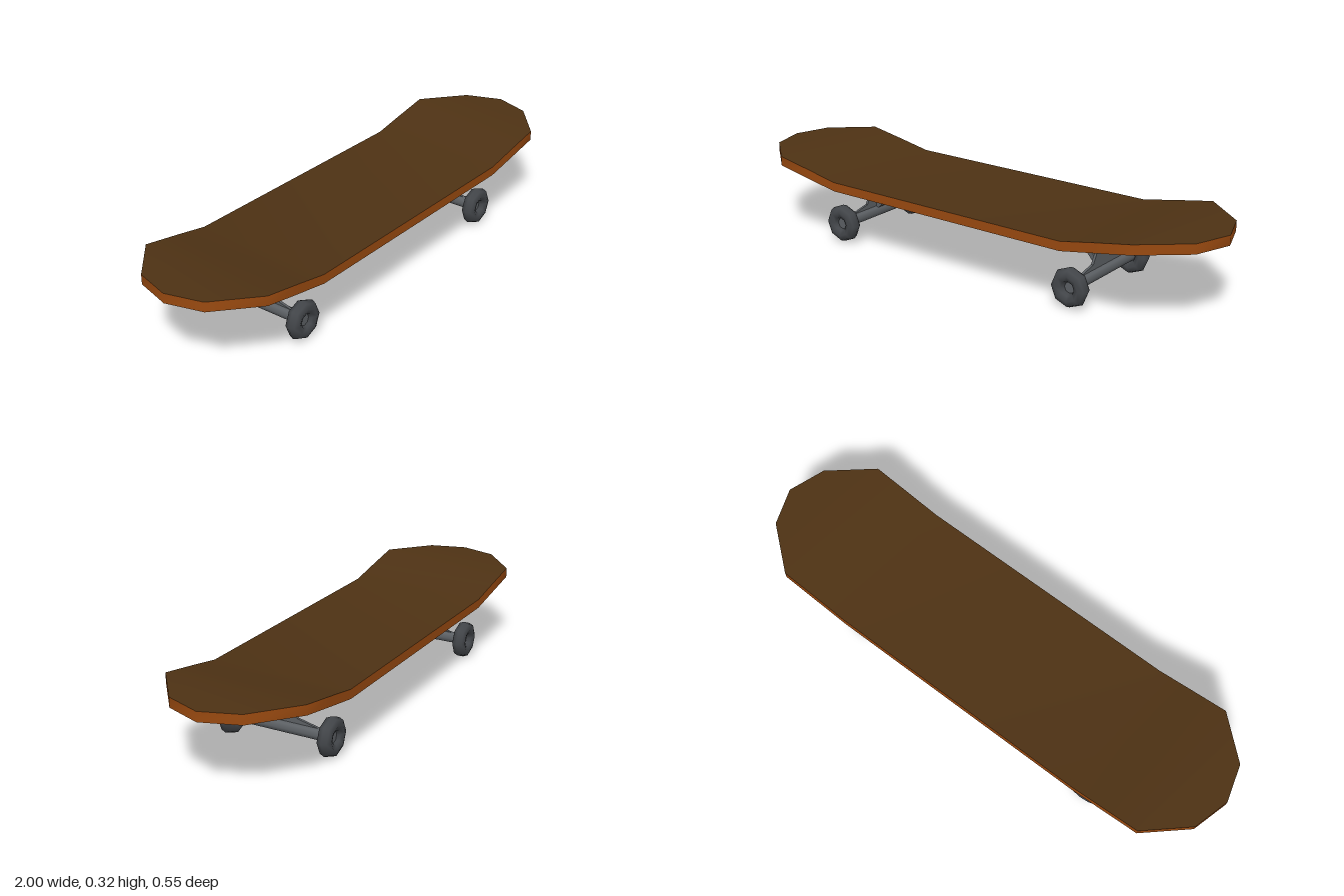
import * as THREE from 'three';
import { toCreasedNormals } from 'three/addons/utils/BufferGeometryUtils.js';

const paint = (color) => new THREE.MeshStandardMaterial({ color });
const wood = paint(0x9a4a10);
const gripBrown = paint(0x4e3214);
const metal = paint(0x5c6064);
const rubber = paint(0x43464a);

// Deck stations along x: [x, half width, top y, edge bottom y, centre bottom y]
const stations = [
  [-1, 0, 0.317, 0.28, 0.28],
  [-0.96, 0.14, 0.317, 0.28, 0.275],
  [-0.81, 0.273, 0.317, 0.28, 0.255],
  [-0.66, 0.273, 0.29, 0.253, 0.234],
  [-0.53, 0.273, 0.265, 0.23, 0.23],
  [0.51, 0.273, 0.265, 0.23, 0.23],
  [0.64, 0.273, 0.29, 0.253, 0.234],
  [0.79, 0.273, 0.317, 0.28, 0.255],
  [0.95, 0.14, 0.317, 0.28, 0.275],
  [1, 0, 0.317, 0.28, 0.28],
];

// Joins successive cross-sections (lists of points) with quads
function loft(sections, crease) {
  const n = sections[0].length;
  const index = [];
  for (let i = 0; i < sections.length - 1; i++) {
    for (let j = 0; j < n - 1; j++) {
      const a = i * n + j, b = a + 1, c = b + n, d = a + n;
      index.push(a, d, c, a, c, b);
    }
  }
  const geo = new THREE.BufferGeometry();
  geo.setAttribute('position', new THREE.Float32BufferAttribute(sections.flat(2), 3));
  geo.setIndex(index);
  return toCreasedNormals(geo, crease);
}

function add(parent, name, geometry, material) {
  const mesh = new THREE.Mesh(geometry, material);
  mesh.name = name;
  parent.add(mesh);
  return mesh;
}

// Flat outline extruded symmetrically about its own plane
function plate(points, depth) {
  const shape = new THREE.Shape(points.map(([x, y]) => new THREE.Vector2(x, y)));
  return new THREE.ExtrudeGeometry(shape, { depth, bevelEnabled: false }).translate(0, 0, -depth / 2);
}

// One axle with wheels, hanger plate and bent strut towards the deck centre
function createTruck(name) {
  const truck = new THREE.Group();
  truck.name = name;

  const axle = add(truck, 'axle', new THREE.CylinderGeometry(0.023, 0.023, 0.41, 8).rotateX(Math.PI / 2), metal);
  axle.position.y = 0.075;

  for (const z of [0.202, -0.198]) {
    const wheel = add(truck, 'wheel', new THREE.TorusGeometry(0.0475, 0.0275, 8, 8), rubber);
    wheel.position.set(0, 0.075, z);
  }

  // Flared hanger standing on the axle
  const half = [[0.15, 0.096], [0.066, 0.115], [0.017, 0.2], [0.017, 0.235]];
  const mirrored = half.map(([z, y]) => [-z, y]).reverse();
  add(truck, 'hanger', plate([...half, ...mirrored], 0.01).rotateY(Math.PI / 2), metal);

  // Bent strut, drawn for a truck on the +x side
  const strut = [
    [-0.075, 0.24], [-0.075, 0.156], [-0.025, 0.098], [-0.005, 0.085],
    [-0.005, 0.105], [-0.06, 0.162], [-0.06, 0.24],
  ];
  add(truck, 'strut', plate(strut, 0.03), metal);
  return truck;
}

export function createModel() {
  const model = new THREE.Group();
  model.name = 'skateboard';

  // Wooden sides and underside, then the grip surface on top
  const body = stations.map(([x, w, top, edge, keel]) =>
    [[x, top, -w], [x, edge, -w], [x, keel, 0], [x, edge, w], [x, top, w]]);
  add(model, 'deck', loft(body, 0.9), wood);
  const cover = stations.map(([x, w, top]) => [[x, top, w], [x, top, -w]]);
  add(model, 'gripSurface', loft(cover, 0.9), gripBrown);

  const leftTruck = createTruck('leftTruck');
  leftTruck.position.x = 0.51;
  const rightTruck = createTruck('rightTruck');
  rightTruck.position.x = -0.557;
  rightTruck.rotation.y = Math.PI;
  model.add(leftTruck, rightTruck);
  return model;
}
